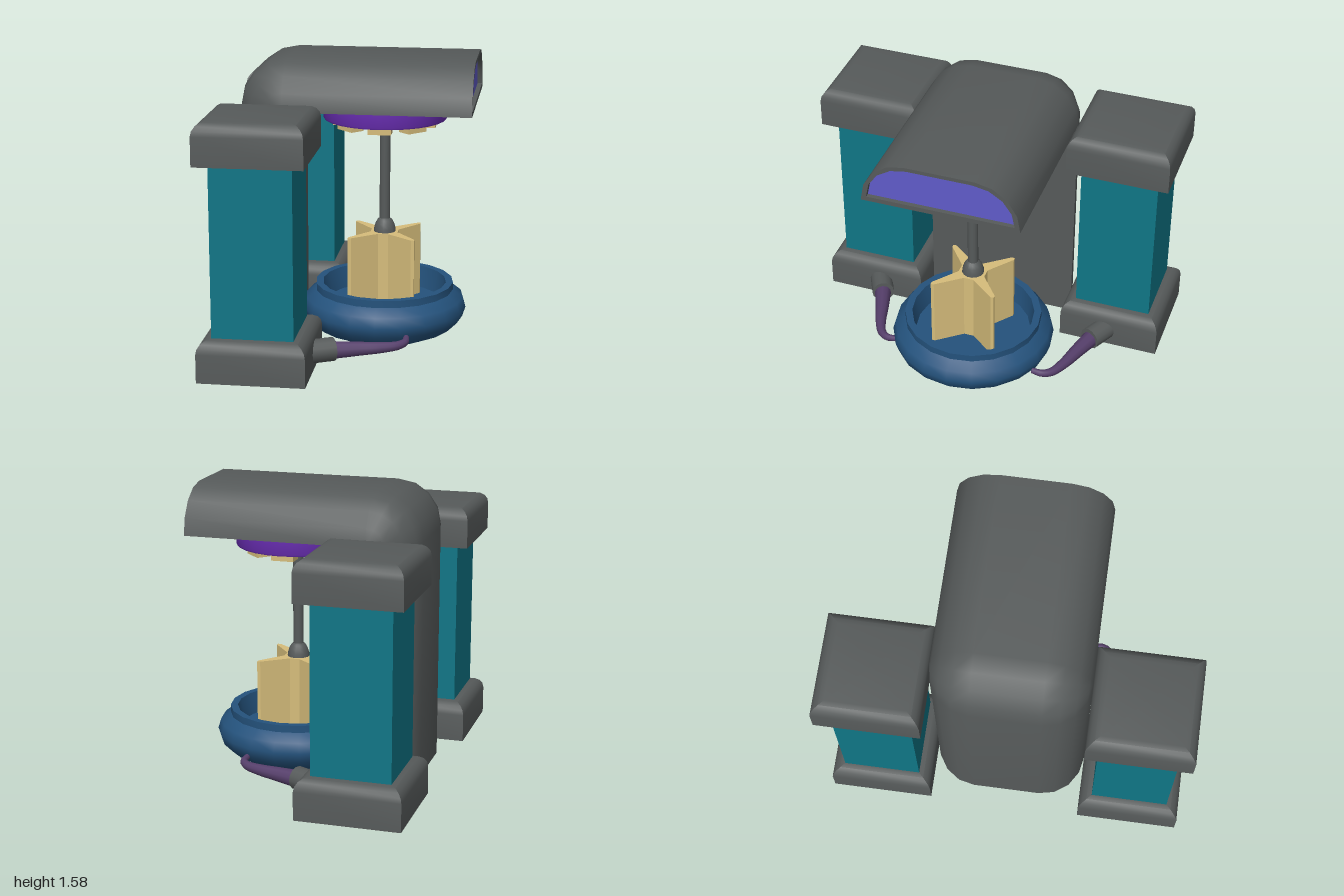
import * as THREE from 'three';
import { toCreasedNormals } from 'three/addons/utils/BufferGeometryUtils.js';

const material = (name, color) => {
  const m = new THREE.MeshStandardMaterial({ color });
  m.name = name;
  return m;
};
const V = (x, y, z) => new THREE.Vector3(x, y, z);

// Lathe with sharp edges kept; points run from the bottom up, outside first
function lathe(points, sides, crease = 0.6) {
  const profile = points.map(([r, y]) => new THREE.Vector2(r, y));
  return toCreasedNormals(new THREE.LatheGeometry(profile, sides), crease);
}

// Square cap with rounded top edges
function capGeometry(width, height, round) {
  const half = width / 2;
  const points = [[0, 0], [half, 0]];
  for (let i = 0; i <= 4; i++) {
    const a = (i / 4) * Math.PI / 2;
    points.push([half - round + round * Math.cos(a), height - round + round * Math.sin(a)]);
  }
  points.push([0, height]);
  const square = points.map(([r, y]) => [r * Math.SQRT2, y]);
  return lathe(square, 4).rotateY(Math.PI / 4);
}

// Half-round cross-section as [across, out] pairs
function bodySection() {
  const out = [];
  for (let i = 0; i <= 4; i++) {
    const a = (i / 4) * Math.PI / 2;
    out.push([-0.19 - 0.24 * Math.cos(a), 0.255 * Math.sin(a)]);
  }
  return [...out, ...out.map(([w, h]) => [-w, h]).reverse()];
}

function indexed(rows, index) {
  const g = new THREE.BufferGeometry();
  g.setAttribute('position', new THREE.Float32BufferAttribute(rows.flat(2), 3));
  g.setIndex(index);
  return toCreasedNormals(g, 0.6);
}

// Section placed at a pivot, pointing along an angle in the xy plane
const place = (section, x, y, angle) => section.map(([w, h]) =>
  [x + Math.cos(angle) * h, y + Math.sin(angle) * h, w]);

// Upright back that bends into the overhead arm, with a recessed arm end
function bodyGeometries() {
  const section = bodySection();
  const inner = section.map(([w, h]) => [w * 0.93, 0.025 + h * 0.82]);
  const n = section.length;
  const rows = [place(section, -0.325, 0.01, Math.PI)];
  for (let i = 0; i <= 4; i++) {
    rows.push(place(section, -0.325, 1.325, Math.PI - (i / 4) * Math.PI / 2));
  }
  rows.push(place(section, 0.68, 1.325, Math.PI / 2));
  rows.push(place(inner, 0.68, 1.325, Math.PI / 2));
  const end = place(inner, 0.655, 1.325, Math.PI / 2);
  rows.push(end);
  const index = [];
  const panel = [];
  for (let i = 0; i < rows.length - 1; i++) {
    for (let j = 0; j < n; j++) {
      const a = i * n + j, b = i * n + (j + 1) % n;
      index.push(a, b, b + n, a, b + n, a + n);
    }
  }
  for (let j = 1; j < n - 1; j++) {
    index.push(0, j + 1, j);
    panel.push(0, j, j + 1);
  }
  return [indexed(rows, index), indexed([end], panel)];
}

// Four-finned star block
function starGeometry(bottom, top) {
  const shape = new THREE.Shape();
  const quarter = [[0.028, 0.075], [0.165, 0.183], [0.183, 0.183], [0.183, 0.165], [0.075, 0.028]];
  for (let k = 0; k < 4; k++) {
    const c = Math.round(Math.cos(-k * Math.PI / 2)), s = Math.round(Math.sin(-k * Math.PI / 2));
    quarter.forEach(([x, y], i) => {
      const px = x * c - y * s, py = x * s + y * c;
      if (k + i === 0) shape.moveTo(px, py); else shape.lineTo(px, py);
    });
  }
  const g = new THREE.ExtrudeGeometry(shape, { depth: top - bottom, bevelEnabled: false });
  return g.rotateX(-Math.PI / 2).translate(0, bottom, 0);
}

// Tube that narrows along its path
function taperedTube(path, r0, r1) {
  const steps = 20, sides = 10;
  const g = new THREE.TubeGeometry(path, steps, 1, sides);
  const p = g.attributes.position;
  const v = new THREE.Vector3();
  for (let i = 0; i <= steps; i++) {
    const centre = path.getPointAt(i / steps);
    const r = r0 + (r1 - r0) * (i / steps);
    for (let j = 0; j <= sides; j++) {
      const k = i * (sides + 1) + j;
      v.fromBufferAttribute(p, k).sub(centre).multiplyScalar(r).add(centre);
      p.setXYZ(k, v.x, v.y, v.z);
    }
  }
  return g;
}

export function createModel() {
  const model = new THREE.Group();
  const grey = material('dark grey metal', 0x565a5a);
  const teal = material('teal tank', 0x0f7686);
  const blue = material('deep blue', 0x24527c);
  const gold = material('sand gold', 0xd6bd7b);
  const purple = material('bright purple', 0x6a2eb4);
  const violet = material('violet panel', 0x605bc9);
  const plum = material('dusky plum', 0x563f6b);

  const add = (name, geometry, mat, x = 0, y = 0, z = 0, parent = model) => {
    const mesh = new THREE.Mesh(geometry, mat);
    mesh.name = name;
    mesh.position.set(x, y, z);
    parent.add(mesh);
    return mesh;
  };

  // Body and arm
  const [body, panel] = bodyGeometries();
  add('body', body, grey);
  add('armEndPanel', panel, violet);

  // Side columns with a nozzle and tendril each
  const cap = capGeometry(0.57, 0.225, 0.07);
  for (const s of [1, -1]) {
    const column = new THREE.Group();
    column.name = s > 0 ? 'frontColumn' : 'backColumn';
    model.add(column);
    add('columnBase', cap, grey, -0.395, 0.01, s * 0.715, column);
    add('columnTop', cap, grey, -0.395, 1.155, s * 0.715, column);
    add('tank', new THREE.BoxGeometry(0.43, 0.93, 0.43), teal, -0.395, 0.695, s * 0.715, column);

    const nozzle = add('nozzle', new THREE.CylinderGeometry(0.064, 0.064, 0.17, 14), grey,
      -0.093, 0.1, s * 0.672, column);
    nozzle.quaternion.setFromUnitVectors(V(0, 1, 0), V(0.89, 0, -0.45 * s).normalize());

    const path = new THREE.CatmullRomCurve3([
      V(-0.04, 0.095, s * 0.645), V(0.1, 0.092, s * 0.595), V(0.22, 0.09, s * 0.555),
      V(0.31, 0.09, s * 0.51), V(0.345, 0.095, s * 0.465), V(0.345, 0.1, s * 0.405)]);
    add('tendril', taperedTube(path, 0.05, 0.016), plum, 0, 0, 0, column);
  }

  // Working axis: bowl, star block, rod and overhead ring
  const axis = new THREE.Group();
  axis.name = 'centralAssembly';
  axis.position.x = 0.178;
  model.add(axis);
  const addAxis = (name, geometry, mat) => add(name, geometry, mat, 0, 0, 0, axis);

  addAxis('bowl', lathe([[0, 0], [0.285, 0], [0.295, 0.015], [0.385, 0.045], [0.44, 0.1],
    [0.457, 0.155], [0.44, 0.21], [0.385, 0.252], [0.385, 0.292], [0.345, 0.292],
    [0.325, 0.17], [0, 0.17]], 20, 0.75), blue);
  addAxis('starBlock', starGeometry(0.16, 0.58), gold);
  addAxis('rodFoot', lathe([[0, 0.575], [0.062, 0.575], [0.06, 0.598], [0.052, 0.625],
    [0.041, 0.645], [0.028, 0.656], [0, 0.656]], 14), grey);
  addAxis('rod', new THREE.CylinderGeometry(0.029, 0.029, 0.58, 14).translate(0, 0.93, 0), grey);
  addAxis('ring', lathe([[0, 1.3], [0.29, 1.3], [0.3, 1.225], [0.335, 1.225],
    [0.34, 1.235], [0.34, 1.325]], 28), purple);

  // Gold blocks, struts and hub inside the ring
  addAxis('hub', new THREE.CylinderGeometry(0.085, 0.085, 0.06, 8).translate(0, 1.21, 0), gold);
  for (let i = 0; i < 8; i++) {
    const spoke = new THREE.Group();
    spoke.name = 'ringSpoke';
    spoke.rotation.y = (i / 8) * Math.PI * 2;
    axis.add(spoke);
    add('ringBlock', new THREE.BoxGeometry(0.08, 0.115, 0.125), gold, 0.24, 1.2425, 0, spoke);
    for (const s of [1, -1]) {
      const strut = add('strut', new THREE.BoxGeometry(0.15, 0.05, 0.02), gold,
        0.145, 1.23, s * 0.025, spoke);
      strut.rotation.y = -s * 0.3;
    }
  }
  return model;
}
